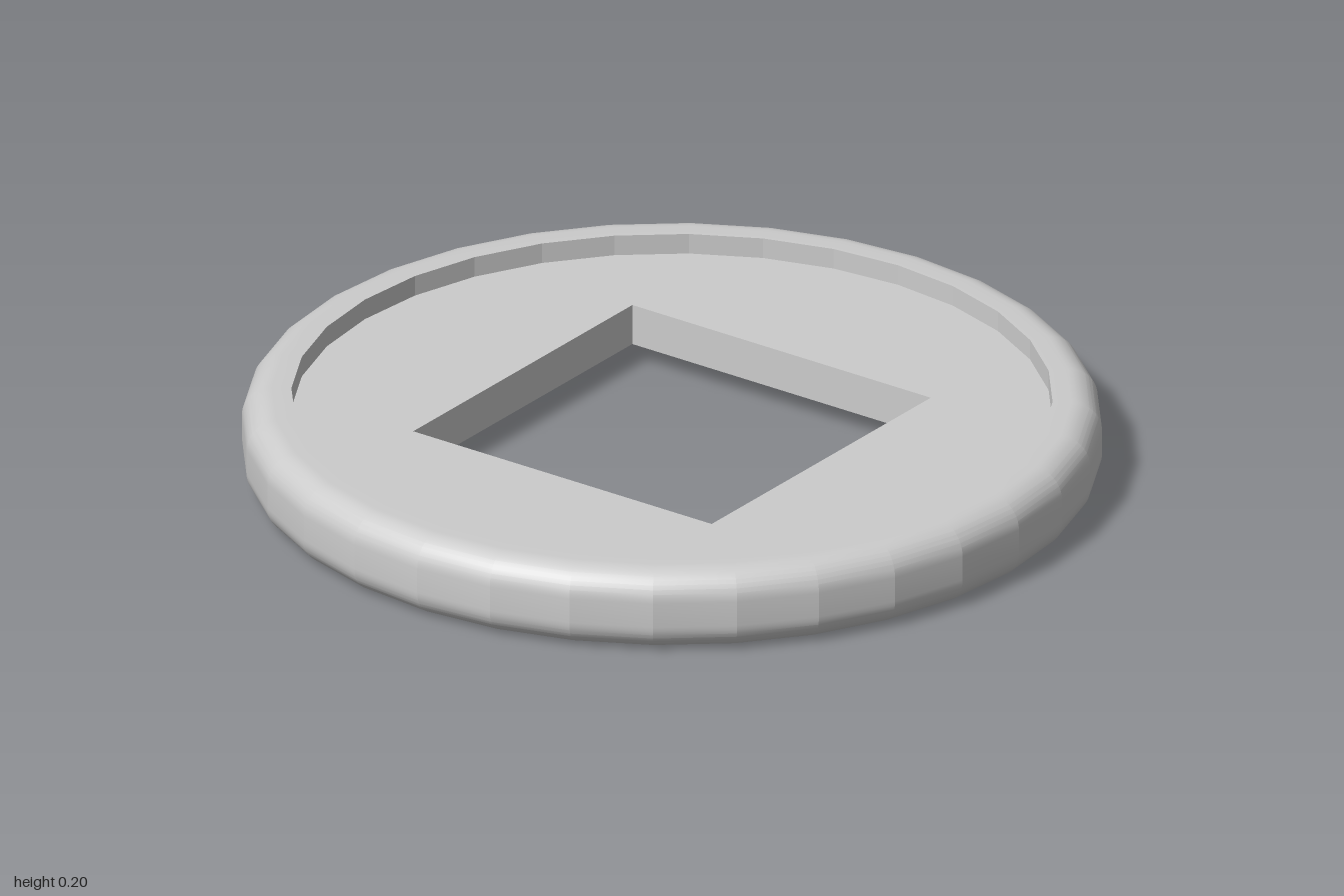
import * as THREE from 'three';
import { toCreasedNormals } from 'three/addons/utils/BufferGeometryUtils.js';

const SIDES = 32;
const HEIGHT = 0.2;
const INNER = 0.885;  // inside radius of the rim
const BEVEL = 0.07;   // rounding of the rim's outer corners
const HOLE = 0.43;    // half width of the square hole

// Raised rim: a closed section with rounded outer corners, turned about y
function rimGeometry() {
  const section = [new THREE.Vector2(INNER, 0)];
  const corner = (cy, start) => {
    for (let i = 0; i <= 10; i++) {
      const a = start + (i / 10) * Math.PI / 2;
      section.push(new THREE.Vector2(1 - BEVEL + BEVEL * Math.cos(a), cy + BEVEL * Math.sin(a)));
    }
  };
  corner(BEVEL, -Math.PI / 2);
  corner(HEIGHT - BEVEL, 0);
  section.push(new THREE.Vector2(INNER, HEIGHT), new THREE.Vector2(INNER, 0));
  // Facets stay crisp on the upright band and blend over the rounding
  return toCreasedNormals(new THREE.LatheGeometry(section, SIDES), 0.19);
}

// Recessed disc with a square hole, tucked slightly into the rim
function discGeometry() {
  const outline = [];
  for (let i = 0; i < SIDES; i++) {
    const a = (i / SIDES) * Math.PI * 2;
    outline.push(new THREE.Vector2(Math.cos(a), Math.sin(a)).multiplyScalar(INNER + 0.01));
  }
  const shape = new THREE.Shape(outline);
  shape.holes.push(new THREE.Path([
    new THREE.Vector2(-HOLE, -HOLE), new THREE.Vector2(-HOLE, HOLE),
    new THREE.Vector2(HOLE, HOLE), new THREE.Vector2(HOLE, -HOLE),
  ]));
  const geometry = new THREE.ExtrudeGeometry(shape, { depth: 0.1, bevelEnabled: false });
  return geometry.rotateX(-Math.PI / 2).translate(0, 0.05, 0);
}

export function createModel() {
  const model = new THREE.Group();
  model.name = 'coin';
  const material = new THREE.MeshStandardMaterial({ color: 0xcccccc });
  const add = (name, geometry) => {
    const mesh = new THREE.Mesh(geometry, material);
    mesh.name = name;
    model.add(mesh);
  };
  add('rim', rimGeometry());
  add('disc', discGeometry());
  return model;
}
